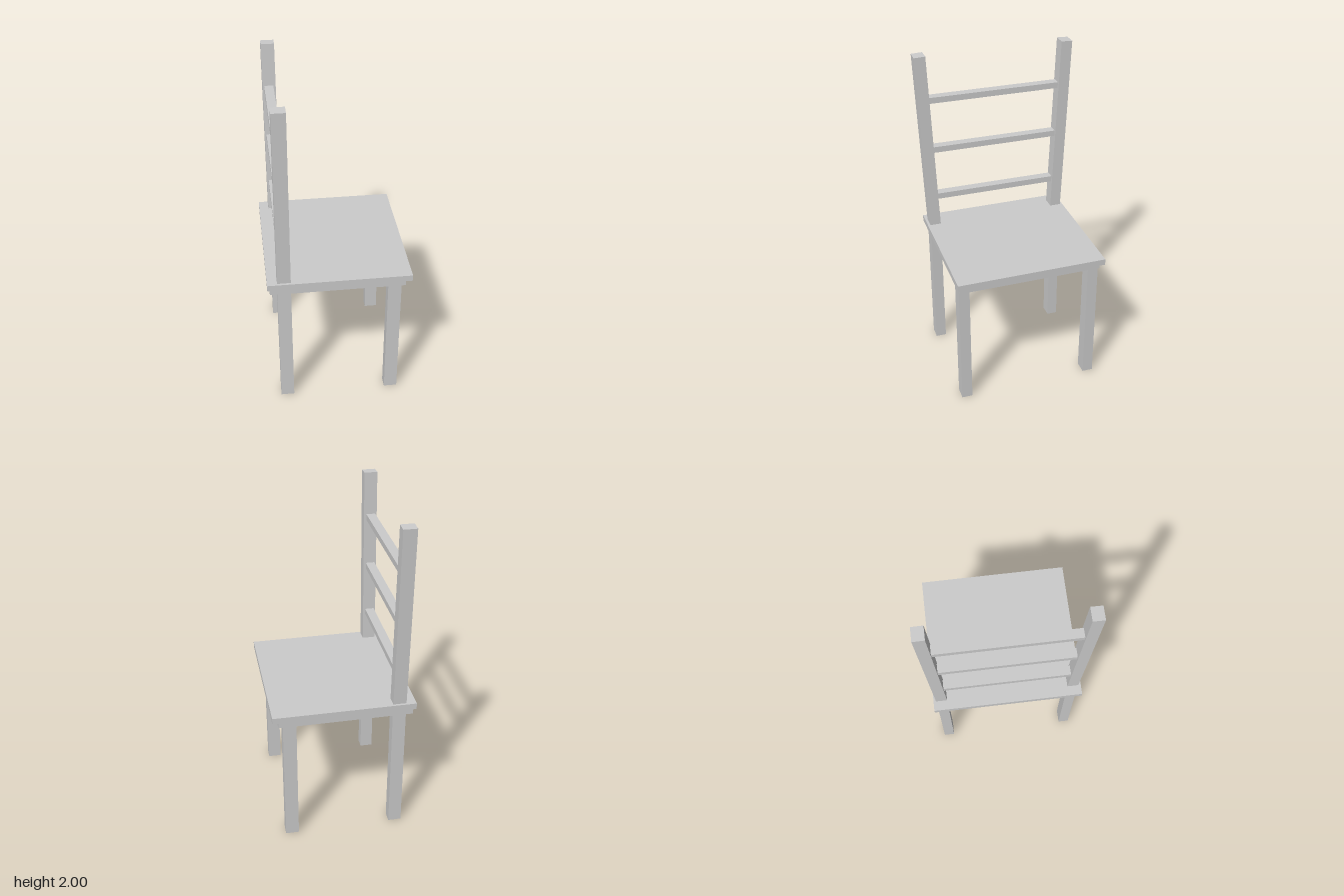
import * as THREE from 'three';

const material = new THREE.MeshStandardMaterial({ color: 0xcccccc, flatShading: true });

export function createModel() {
  const chair = new THREE.Group();
  chair.name = 'chair';

  // Box given by its size and centre
  function box(name, [w, h, d], [x, y, z]) {
    const mesh = new THREE.Mesh(new THREE.BoxGeometry(w, h, d), material);
    mesh.name = name;
    mesh.position.set(x, y, z);
    chair.add(mesh);
    return mesh;
  }

  // Seat board on a slightly smaller base, which sits a little towards the back
  box('seat', [0.855, 0.038, 0.91], [0, 0.864, 0]);
  box('seatBase', [0.804, 0.043, 0.874], [-0.011, 0.8235, 0]);

  const backX = -0.329, frontX = 0.326;
  const lean = 0.0415; // outward tilt of the back posts
  const top = new THREE.Vector2(0.452, 1.9985); // z and y of the post's top centre
  const postLength = 1.145;

  for (const side of [-1, 1]) {
    // Straight legs
    box('frontLeg', [0.08, 0.803, 0.065], [frontX, 0.4015, side * 0.4045]);
    box('backLeg', [0.08, 0.803, 0.065], [backX, 0.4015, side * 0.4045]);

    // Back posts, splayed outwards
    const post = box('backPost', [0.08, postLength, 0.068], [
      backX,
      top.y - Math.cos(lean) * postLength / 2,
      side * (top.x - Math.sin(lean) * postLength / 2),
    ]);
    post.rotation.x = side * lean;
  }

  // Rungs between the posts, longer towards the top
  for (const y of [1.0745, 1.3965, 1.719]) {
    const halfLength = top.x - Math.tan(lean) * (top.y - y) - 0.03;
    box('backRung', [0.055, 0.037, 2 * halfLength], [-0.331, y, 0]);
  }

  return chair;
}
